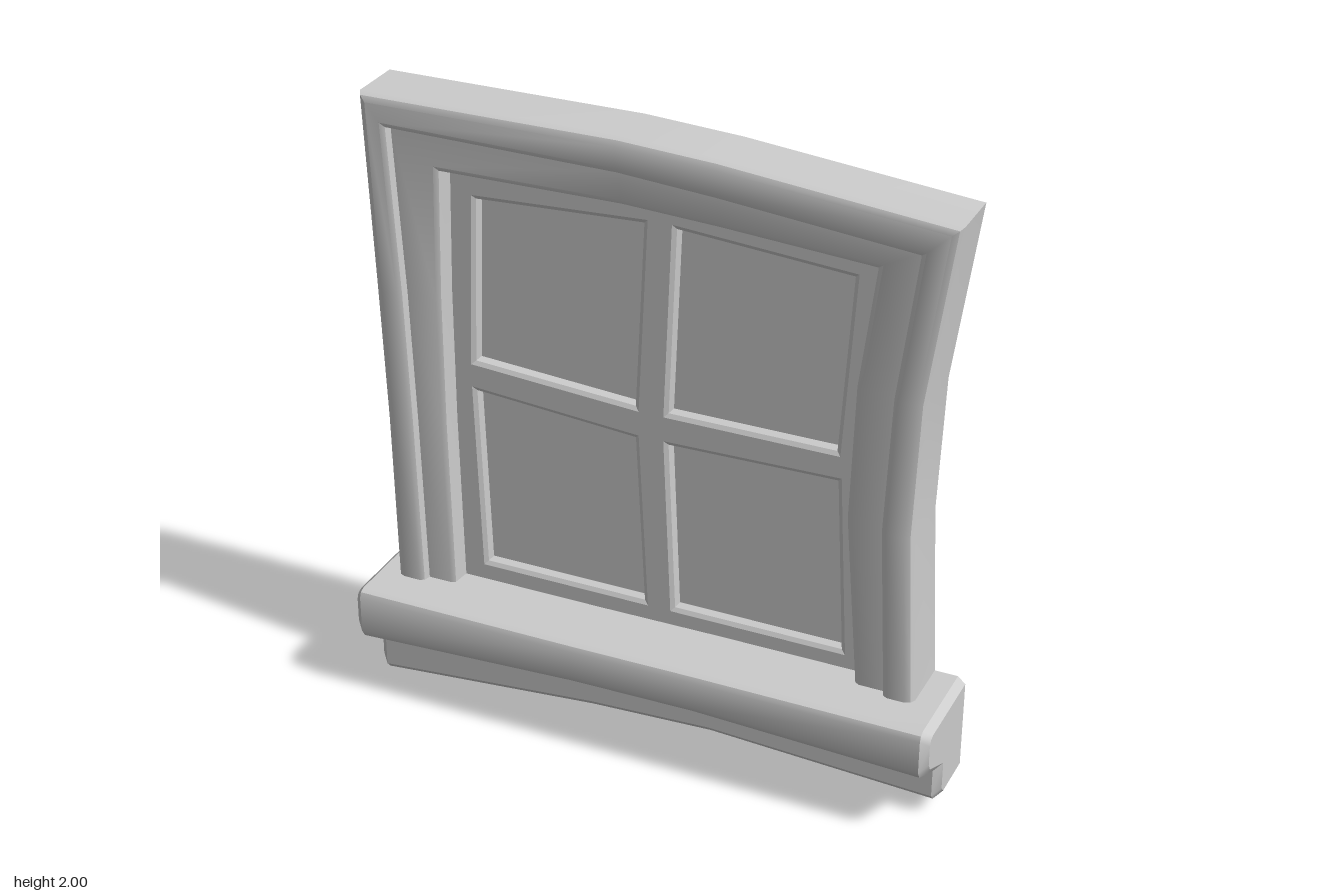
import * as THREE from 'three';
import { toCreasedNormals } from 'three/addons/utils/BufferGeometryUtils.js';

const material = new THREE.MeshStandardMaterial({ color: 0xcccccc, side: THREE.DoubleSide });

// Moves a 2D path inwards (to the right of its direction) with mitred corners
function inset(path, d, closed = false) {
  const n = path.length;
  const normal = (i, j) => {
    const dx = path[j][0] - path[i][0], dy = path[j][1] - path[i][1], l = Math.hypot(dx, dy);
    return [dy / l, -dx / l];
  };
  return path.map(([x, y], i) => {
    const first = !closed && i === 0, last = !closed && i === n - 1;
    const b = last ? normal(i - 1, i) : normal(i, (i + 1) % n);
    const a = first ? b : normal((i + n - 1) % n, i);
    const k = d / (1 + a[0] * b[0] + a[1] * b[1]);
    return [x + (a[0] + b[0]) * k, y + (a[1] + b[1]) * k];
  });
}

// Skins a list of rows, each a list of [x, y, z]
function loft(rows, closed = false) {
  const n = rows[0].length, index = [];
  for (let r = 0; r < rows.length - 1; r++) {
    for (let i = 0; i < (closed ? n : n - 1); i++) {
      const a = r * n + i, b = r * n + (i + 1) % n;
      index.push(a, a + n, b, b, a + n, b + n);
    }
  }
  const geometry = new THREE.BufferGeometry();
  geometry.setAttribute('position', new THREE.Float32BufferAttribute(rows.flat(2), 3));
  geometry.setIndex(index);
  return toCreasedNormals(geometry, 0.6);
}

const atZ = (path, z) => path.map(([x, y]) => [x, y, z]);
const toShape = (path) => new THREE.Shape(path.map(([x, y]) => new THREE.Vector2(x, y)));

// Crooked outlines: up the left post, across the head, down the right post
const outer = [[-0.87, 0.33], [-0.88, 0.94], [-0.895, 1.37], [-0.92, 1.995], [-0.1, 2.0],
  [0.2, 1.985], [0.91, 1.92], [0.835, 1.37], [0.82, 0.94], [0.852, 0.33]];
const middle = [[-0.79, 0.33], [-0.805, 0.94], [-0.82, 1.37], [-0.85, 1.915], [-0.1, 1.91],
  [0.2, 1.89], [0.815, 1.835], [0.757, 1.37], [0.74, 0.94], [0.772, 0.33]];
const inner = [[-0.695, 0.33], [-0.705, 0.94], [-0.705, 1.37], [-0.695, 1.795], [-0.1, 1.803],
  [0.2, 1.79], [0.685, 1.76], [0.637, 1.37], [0.625, 0.94], [0.675, 0.33]];

const panes = [
  [[-0.61, 1.695], [-0.045, 1.725], [-0.075, 1.1], [-0.63, 1.135]],
  [[0.03, 1.725], [0.595, 1.685], [0.56, 1.1], [0.005, 1.1]],
  [[-0.63, 1.06], [-0.075, 1.02], [-0.045, 0.43], [-0.61, 0.43]],
  [[0.005, 1.02], [0.567, 1.03], [0.6, 0.43], [0.03, 0.43]],
];

export function createModel() {
  const model = new THREE.Group();
  const add = (name, geometry, parent = model) => {
    const mesh = new THREE.Mesh(geometry, material);
    mesh.name = name;
    parent.add(mesh);
    return mesh;
  };

  // Outer casing, hollow at the back
  add('casing', loft([
    atZ(outer, -0.165), atZ(outer, 0.005), atZ(inset(outer, 0.008), 0.022),
    atZ(inset(outer, 0.025), 0.03), atZ(middle, 0.03),
    atZ(inset(middle, 0.014), 0.022), atZ(inset(middle, 0.02), 0),
  ]));

  // Stepped inner casing
  add('innerCasing', loft([
    atZ(inset(middle, 0.02), 0), atZ(inner, 0),
    atZ(inset(inner, 0.014), -0.008), atZ(inset(inner, 0.02), -0.065),
  ]));

  // Sash face with four openings
  const sash = toShape(inset(inner, 0.02));
  sash.holes = panes.map(toShape);
  add('sash', new THREE.ShapeGeometry(sash).translate(0, 0, -0.065));

  // Bevelled openings and their glass
  for (const pane of panes) {
    const group = new THREE.Group();
    group.name = 'pane';
    model.add(group);
    const glass = inset(pane, 0.02, true);
    add('glazingBevel', loft([
      atZ(pane, -0.065), atZ(inset(pane, 0.013, true), -0.073), atZ(glass, -0.095),
    ], true), group);
    add('glass', new THREE.ShapeGeometry(toShape(glass)).translate(0, 0, -0.095), group);
  }

  // Sill cross-section as [z, y]: t top, e front lower edge, s step, b bottom, d end bevel
  const section = ([, t, e, s, b, d]) => [
    [-0.165, t - d], [0.14 - d, t - d], [0.158 - d, t - 0.008 - d], [0.165 - d, t - 0.025 - d],
    [0.165 - d, e + 0.015 + d], [0.15 - d, e - 0.01 + d], [0.025 - d, s + d],
    [0.025 - d, b + 0.02 + d], [0.008 - d, b + d], [-0.165, b + d],
  ];
  // Stations along the sill: x, t, e, s, b, d
  const stations = [
    [-0.953, 0.378, 0.215, 0.13, 0, 0.022], [-0.93, 0.378, 0.215, 0.13, 0, 0],
    [-0.2, 0.38, 0.252, 0.175, 0.066, 0], [0.2, 0.384, 0.258, 0.186, 0.085, 0],
    [0.922, 0.385, 0.235, 0.165, 0.052, 0], [0.946, 0.385, 0.235, 0.165, 0.052, 0.022],
  ];
  const sections = stations.map(section);
  const sillRows = sections[0].map((_, k) =>
    stations.map(([x], j) => [x, sections[j][k][1], sections[j][k][0]]));
  const sill = new THREE.Group();
  sill.name = 'sill';
  model.add(sill);
  add('sillBody', loft(sillRows), sill);
  for (const j of [0, stations.length - 1]) {
    const cap = new THREE.ShapeGeometry(toShape(sections[j]));
    add('sillEnd', cap.rotateY(-Math.PI / 2).translate(stations[j][0], 0, 0), sill);
  }

  return model;
}
